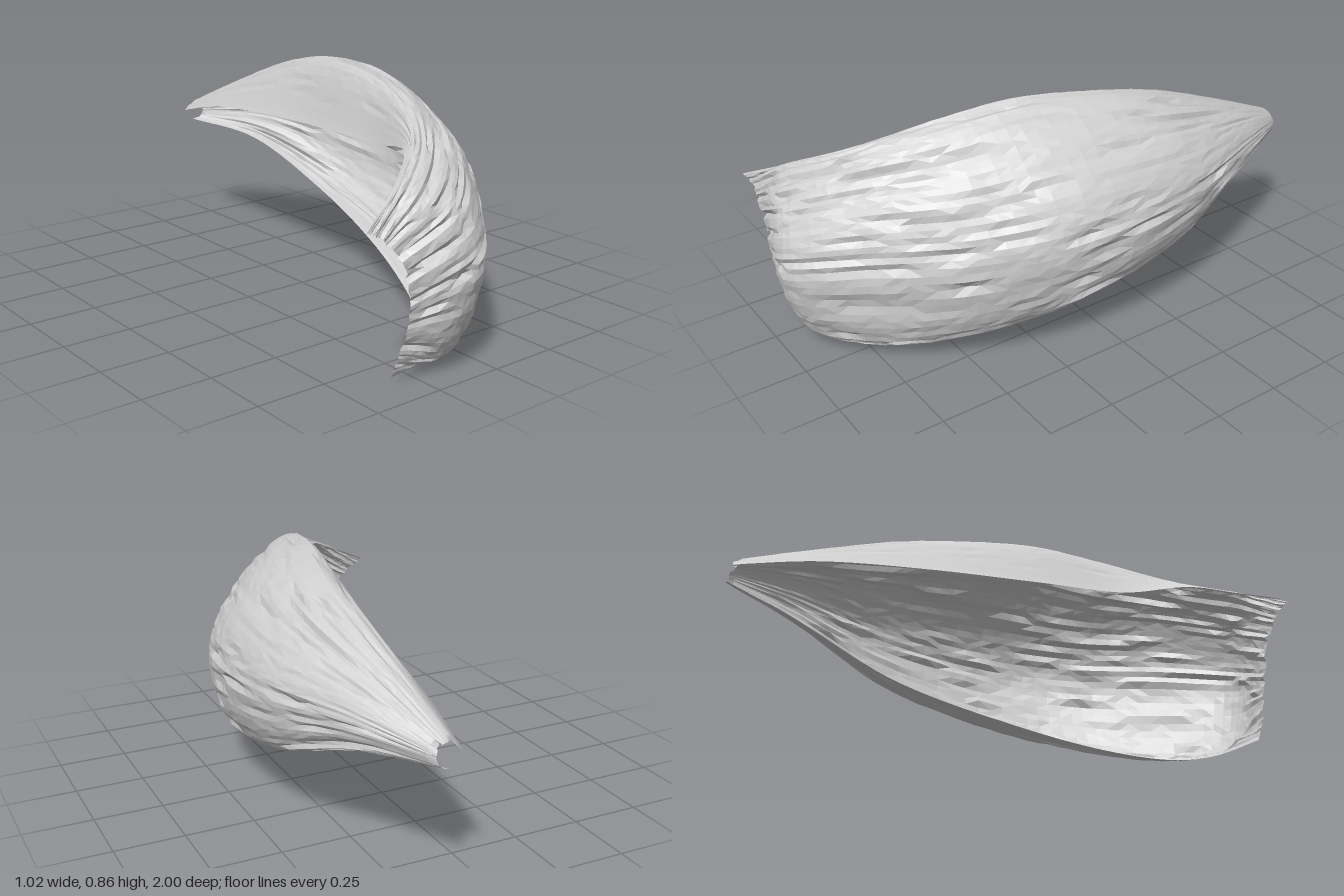
import * as THREE from 'three';

// Cross-sections from the narrow tip to the wide torn end, as x, y pairs:
// upper rim, crest, upper flank, belly, lower corner, lower rim.
// bulge pushes the middle of a section forward, drop pulls its lower rim back.
const SECTIONS = [
  { z: -1, p: [.12, .49, .15, .52, .19, .515, .205, .49, .195, .455, .165, .445] },
  { z: -.7, p: [.08, .56, .17, .65, .29, .625, .36, .53, .32, .415, .27, .405] },
  { z: -.3, p: [.03, .605, .185, .8, .37, .71, .485, .51, .425, .28, .31, .265] },
  { z: .15, p: [-.025, .635, .1, .86, .32, .745, .49, .48, .415, .185, .23, .145] },
  { z: .5, p: [-.085, .65, .01, .815, .21, .7, .36, .45, .28, .11, .1, .055] },
  { z: .74, bulge: .06, drop: .02, p: [-.18, .69, -.13, .725, .03, .65, .14, .42, .08, .06, -.04, .01] },
  { z: .86, bulge: .17, drop: .05, p: [-.33, .625, -.3, .642, -.18, .56, -.1, .36, -.13, .055, -.17, .003] },
  { z: .95, bulge: .04, drop: .07, p: [-.51, .54, -.47, .525, -.385, .45, -.325, .27, -.335, .11, -.345, .025] },
];
const POINTS = 6, ALONG = 54, ACROSS = 64;

// Repeatable pseudo-random value in 0..1 for a lattice point
function hash(a, b) {
  const s = Math.sin(a * 127.1 + b * 311.7) * 43758.5453;
  return s - Math.floor(s);
}

// Long fibre grooves: noise stretched along the length, each lane offset from its neighbour
function groove(i, j) {
  const t = i / 5 + hash(j, 91) * 7;
  const k = Math.floor(t), f = t - k;
  const n = hash(k, j) * (1 - f) + hash(k + 1, j) * f;
  return n ** 4 * 0.024 + hash(i, j + 200) * 0.004;
}

// Smooth curve down the length through one point of every section
function rail(c) {
  const t = c / (POINTS - 1);
  const swell = Math.sin(Math.PI * t ** 1.3) ** 2;
  return new THREE.CatmullRomCurve3(SECTIONS.map(({ z, p, bulge = 0, drop = 0 }) =>
    new THREE.Vector3(p[2 * c], p[2 * c + 1], z + bulge * swell - drop * t)), false, 'centripetal');
}

function huskGeometry() {
  const rails = Array.from({ length: POINTS }, (_, c) => rail(c));
  const pos = [], index = [];
  for (let i = 0; i <= ALONG; i++) {
    const rib = new THREE.CatmullRomCurve3(rails.map(r => r.getPoint(i / ALONG)), false, 'centripetal');
    for (let j = 0; j <= ACROSS; j++) {
      const v = rib.getPoint(j / ACROSS);
      // Torn front edge and frayed tip
      if (i === ALONG && j > 2) v.x += (hash(j >> 1, 5) - 0.5) * 0.016;
      if (i === 0) v.z += hash(j >> 3, 8) * 0.06 * (1 - j / ACROSS);
      pos.push(v.x, v.y, v.z);
    }
  }
  const row = ACROSS + 1;
  for (let i = 0; i < ALONG; i++) {
    for (let j = 0; j < ACROSS; j++) {
      const a = i * row + j, b = a + row;
      if (hash(i, j) > 0.5) index.push(a, b, a + 1, b, b + 1, a + 1);
      else index.push(a, b, b + 1, a, b + 1, a + 1);
    }
  }
  const g = new THREE.BufferGeometry();
  g.setAttribute('position', new THREE.Float32BufferAttribute(pos, 3));
  g.setIndex(index);
  g.computeVertexNormals();

  // Press the grooves into the skin, fading at the tip and along both rims
  const p = g.attributes.position, n = g.attributes.normal;
  for (let i = 0; i <= ALONG; i++) {
    for (let j = 0; j <= ACROSS; j++) {
      const k = i * row + j;
      const fade = Math.min(1, i / 14) * Math.min(1, Math.max(0, j - 3) / 12) * Math.min(1, (ACROSS - j) / 6);
      const d = -groove(i, j) * fade;
      p.setXYZ(k, p.getX(k) + n.getX(k) * d, p.getY(k) + n.getY(k) * d, p.getZ(k) + n.getZ(k) * d);
    }
  }
  const flat = g.toNonIndexed();
  flat.computeVertexNormals();
  return flat;
}

export function createModel() {
  const group = new THREE.Group();
  group.name = 'huskShell';

  const huskGrey = new THREE.MeshStandardMaterial({ color: 0xcfcfcf, flatShading: true, side: THREE.DoubleSide });
  huskGrey.name = 'huskGrey';

  // Curved fibrous shell, open on its hollow side
  const husk = new THREE.Mesh(huskGeometry(), huskGrey);
  husk.name = 'husk';
  group.add(husk);
  return group;
}
